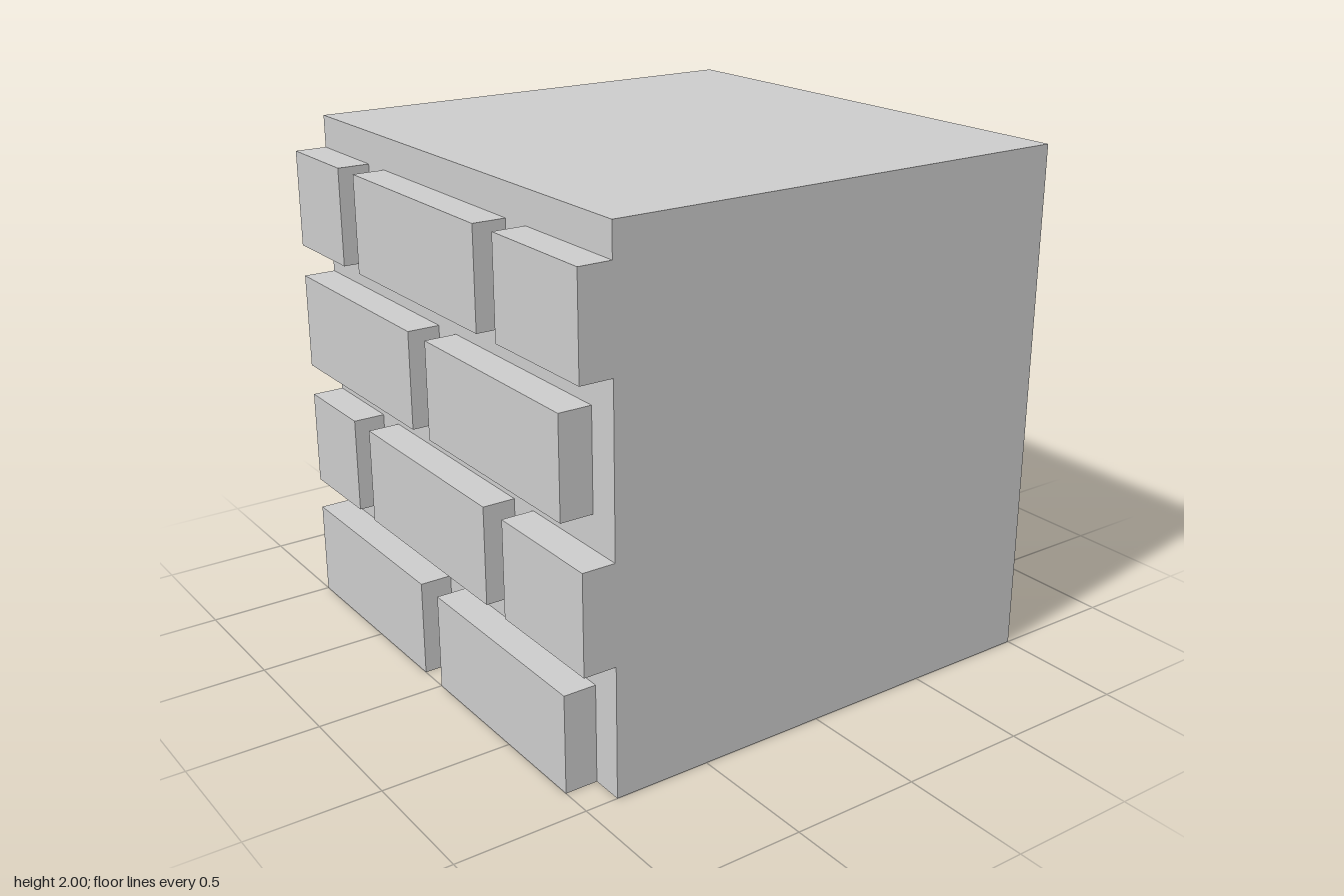
import * as THREE from 'three';

const DEPTH = 0.125; // brick relief, also the mortar gap
const BRICK_HEIGHT = 0.375;
const ROW_PITCH = 0.5;

// [left, right] extents of the bricks in the two alternating courses
const EVEN_COURSE = [[-1, -0.125], [0, 0.875]];
const ODD_COURSE = [[-1, -0.625], [-0.5, 0.375], [0.5, 1]];

export function createModel() {
  const model = new THREE.Group();
  model.name = 'brickWallBlock';
  const material = new THREE.MeshStandardMaterial({ color: 0xcccccc, flatShading: true });

  function addBox(name, parent, [x0, x1], [y0, y1], [z0, z1]) {
    const mesh = new THREE.Mesh(new THREE.BoxGeometry(x1 - x0, y1 - y0, z1 - z0), material);
    mesh.position.set((x0 + x1) / 2, (y0 + y1) / 2, (z0 + z1) / 2);
    mesh.name = name;
    parent.add(mesh);
  }

  // Solid body whose front face is the recessed mortar
  addBox('wallBody', model, [-1, 1], [0, 2], [-1, 1 - DEPTH]);

  // Four courses of raised bricks in running bond
  for (let row = 0; row < 4; row++) {
    const course = new THREE.Group();
    course.name = `brickCourse${row + 1}`;
    const y = row * ROW_PITCH;
    const spans = row % 2 ? ODD_COURSE : EVEN_COURSE;
    spans.forEach((span, i) =>
      addBox(`brick${i + 1}`, course, span, [y, y + BRICK_HEIGHT], [1 - DEPTH, 1]));
    model.add(course);
  }
  return model;
}
